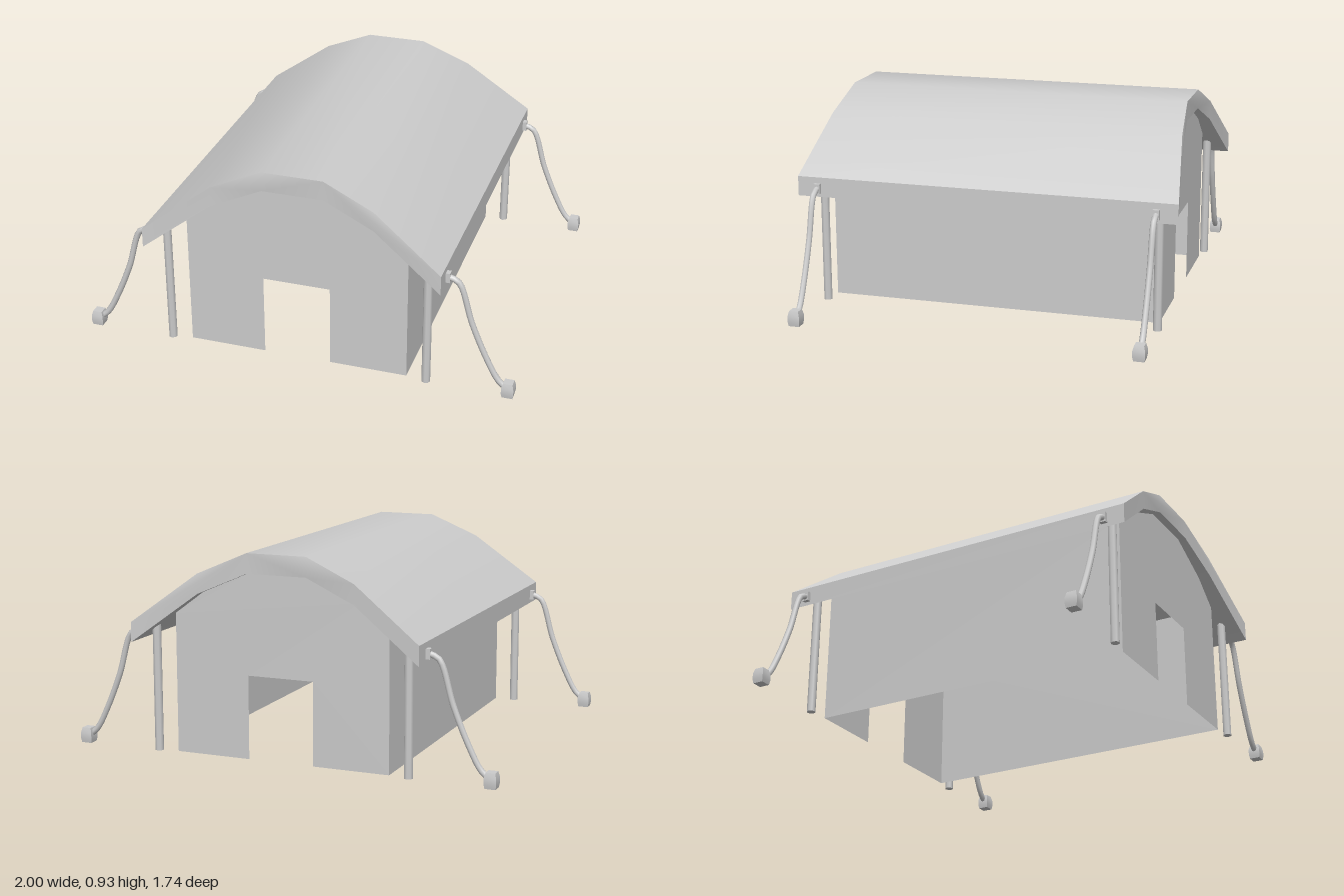
import * as THREE from 'three';
import { toCreasedNormals } from 'three/addons/utils/BufferGeometryUtils.js';

const WALL_X = 0.51, WALL_Z = 0.765, POST_Z = 0.775, SLAB = 0.09;
// upper roof line, eave to eave
const half = [[0.68, 0.6], [0.37, 0.83], [0.14, 0.93]];
const arch = [...half, ...half.map(([x, y]) => [-x, y]).reverse()];

// height of the roof top at a given x
function roofY(x) {
  const a = Math.abs(x);
  if (a <= half[2][0]) return half[2][1];
  const i = a > half[1][0] ? 0 : 1;
  const [x0, y0] = half[i], [x1, y1] = half[i + 1];
  return y0 + (y1 - y0) * (x0 - a) / (x0 - x1);
}

export function createModel() {
  const group = new THREE.Group();
  const solid = new THREE.MeshStandardMaterial({ color: 0xcccccc });
  const cloth = new THREE.MeshStandardMaterial({ color: 0xcccccc, side: THREE.DoubleSide });
  const add = (name, geometry, material, x = 0, y = 0, z = 0) => {
    const mesh = new THREE.Mesh(geometry, material);
    mesh.name = name;
    mesh.position.set(x, y, z);
    group.add(mesh);
    return mesh;
  };
  const vec = ([x, y]) => new THREE.Vector2(x, y);

  // roof slab, its ends flaring outward towards the eaves
  const lower = arch.map(([x, y]) => [x, y - SLAB]).reverse();
  const roof = new THREE.ExtrudeGeometry(new THREE.Shape([...arch, ...lower].map(vec)),
    { depth: 1, bevelEnabled: false });
  const p = roof.attributes.position;
  for (let i = 0; i < p.count; i++) {
    const reach = 0.87 - (roofY(p.getX(i)) - 0.6) * 0.21;
    p.setZ(i, p.getZ(i) > 0.5 ? reach : -reach);
  }
  add('roof', toCreasedNormals(roof, 0.6), solid);

  // end walls with a doorway notch, reaching up to the roof underside
  const eaveY = roofY(WALL_X) - SLAB;
  const endShape = new THREE.Shape([
    [0.155, 0], [WALL_X, 0], [WALL_X, eaveY],
    ...arch.slice(1, -1).map(([x, y]) => [x, y - SLAB]),
    [-WALL_X, eaveY], [-WALL_X, 0], [-0.155, 0], [-0.155, 0.38], [0.155, 0.38],
  ].map(vec));
  const endWall = new THREE.ShapeGeometry(endShape);
  add('frontWall', endWall, cloth, 0, 0, WALL_Z);
  add('backWall', endWall, cloth, 0, 0, -WALL_Z).rotation.y = Math.PI;

  // side walls
  const sideWall = new THREE.PlaneGeometry(2 * WALL_Z, eaveY);
  for (const s of [1, -1]) {
    add(s > 0 ? 'leftWall' : 'rightWall', sideWall, cloth, s * WALL_X, eaveY / 2, 0)
      .rotation.y = s * Math.PI / 2;
  }

  // square ground stake with tapered top and bottom
  const stake = toCreasedNormals(new THREE.LatheGeometry(
    [[0, 0], [0.024, 0], [0.0275, 0.02], [0.0275, 0.045], [0.021, 0.07], [0, 0.07]]
      .map(([r, y]) => new THREE.Vector2(r * Math.SQRT2, y)), 4, Math.PI / 4), 0.3);
  const post = new THREE.CylinderGeometry(0.02, 0.02, 0.6, 8);
  const bracket = new THREE.BoxGeometry(0.022, 0.045, 0.03);

  // post, guy rope, bracket and stake at each corner
  for (const sx of [1, -1]) {
    const rope = new THREE.TubeGeometry(new THREE.CatmullRomCurve3(
      [[0.69, 0.55], [0.735, 0.53], [0.8, 0.335], [0.87, 0.17], [0.925, 0.07], [0.965, 0.035]]
        .map(([x, y]) => new THREE.Vector3(sx * x, y, 0))), 24, 0.014, 8);
    for (const sz of [1, -1]) {
      const z = sz * POST_Z;
      add('post', post, solid, sx * 0.602, 0.3, z);
      add('rope', rope, solid, 0, 0, z);
      add('ropeBracket', bracket, solid, sx * 0.688, 0.55, z);
      add('stake', stake, solid, sx * 0.9725, 0, z);
    }
  }
  return group;
}
